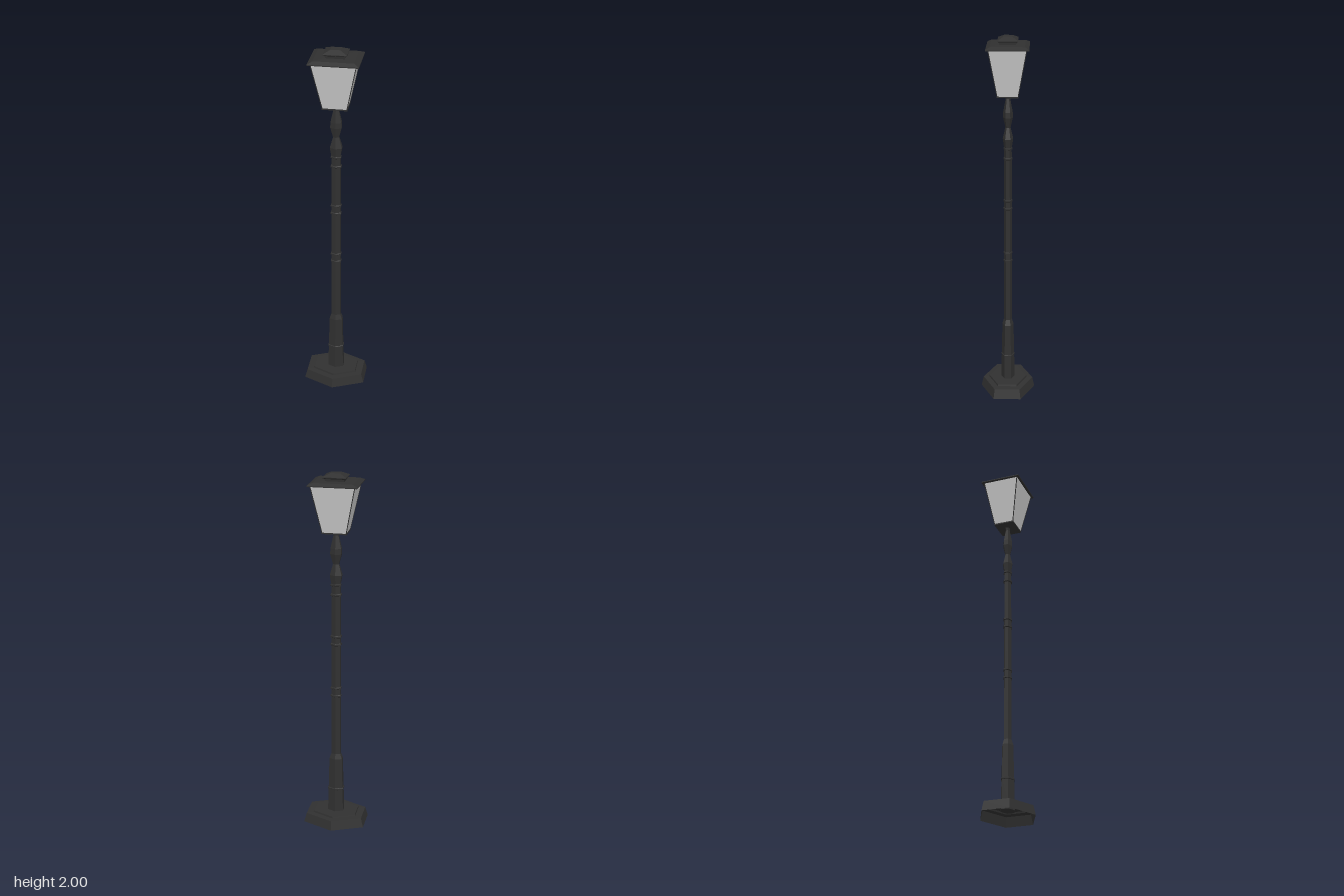
import * as THREE from 'three';

const iron = new THREE.MeshStandardMaterial({ color: 0x303030, flatShading: true, side: THREE.DoubleSide });
const pane = new THREE.MeshStandardMaterial({ color: 0xcccccc, flatShading: true, side: THREE.DoubleSide });

// Faceted solid of revolution; profile is [radius, y] from bottom to top
function turned(name, profile, sides, material, sx, sz) {
  const square = sides === 4;
  const k = square ? Math.SQRT2 : 1;
  const pts = profile.map(([r, y]) => new THREE.Vector2(r * k, y));
  const mesh = new THREE.Mesh(new THREE.LatheGeometry(pts, sides, square ? Math.PI / 4 : 0), material);
  mesh.scale.set(sx, 1, sz);
  mesh.name = name;
  return mesh;
}
const hex = (name, profile) => turned(name, profile, 6, iron, 1.31, 1);
const rect = (name, profile, material = iron) => turned(name, profile, 4, material, 1, 0.855);

export function createModel() {
  const lamp = new THREE.Group();
  lamp.name = 'streetLamp';

  // Hollow stepped hexagonal foot
  lamp.add(hex('base', [[0.15, 0], [0.138, 0.052], [0.106, 0.054], [0.104, 0.063], [0, 0.063]]));

  // Post: tapered plinth, long shaft and turned neck
  lamp.add(hex('post', [
    [0, 0.035], [0.039, 0.035], [0.038, 0.065], [0.035, 0.2], [0.031, 0.385], [0.022, 0.415],
    [0.02, 1.4], [0.028, 1.455], [0.014, 1.515], [0.026, 1.57], [0.025, 1.6],
    [0.012, 1.67], [0.014, 1.69], [0, 1.69],
  ]));

  // Raised collars on the post: [height, radius]
  for (const [y, r] of [[0.2, 0.038], [0.765, 0.025], [0.81, 0.025], [1.065, 0.025], [1.11, 0.025], [1.345, 0.025], [1.4, 0.024]]) {
    lamp.add(hex('collar', [[r - 0.006, y - 0.008], [r, y - 0.004], [r, y + 0.004], [r - 0.006, y + 0.008]]));
  }

  // Lantern: floor plate, flared glass, slim corner bars
  lamp.add(rect('lanternFloor', [[0, 1.687], [0.066, 1.687], [0.066, 1.694], [0, 1.694]]));
  lamp.add(rect('lanternGlass', [[0.063, 1.692], [0.116, 1.946]], pane));
  for (const x of [-1, 1]) for (const z of [-1, 1]) {
    const low = new THREE.Vector3(x * 0.063, 1.69, z * 0.054);
    const high = new THREE.Vector3(x * 0.116, 1.946, z * 0.099);
    const bar = new THREE.Mesh(new THREE.BoxGeometry(0.004, low.distanceTo(high), 0.004), iron);
    bar.position.lerpVectors(low, high, 0.5);
    bar.quaternion.setFromUnitVectors(new THREE.Vector3(0, 1, 0), high.clone().sub(low).normalize());
    bar.name = 'cornerBar';
    lamp.add(bar);
  }

  // Roof with bevelled rim, and the flared cap on top
  lamp.add(rect('roof', [[0, 1.943], [0.131, 1.943], [0.131, 1.948], [0.105, 1.96], [0, 1.963]]));
  lamp.add(rect('roofCap', [[0.05, 1.96], [0.051, 1.973], [0.062, 1.979], [0.062, 1.983], [0.026, 2], [0, 2]]));
  return lamp;
}
